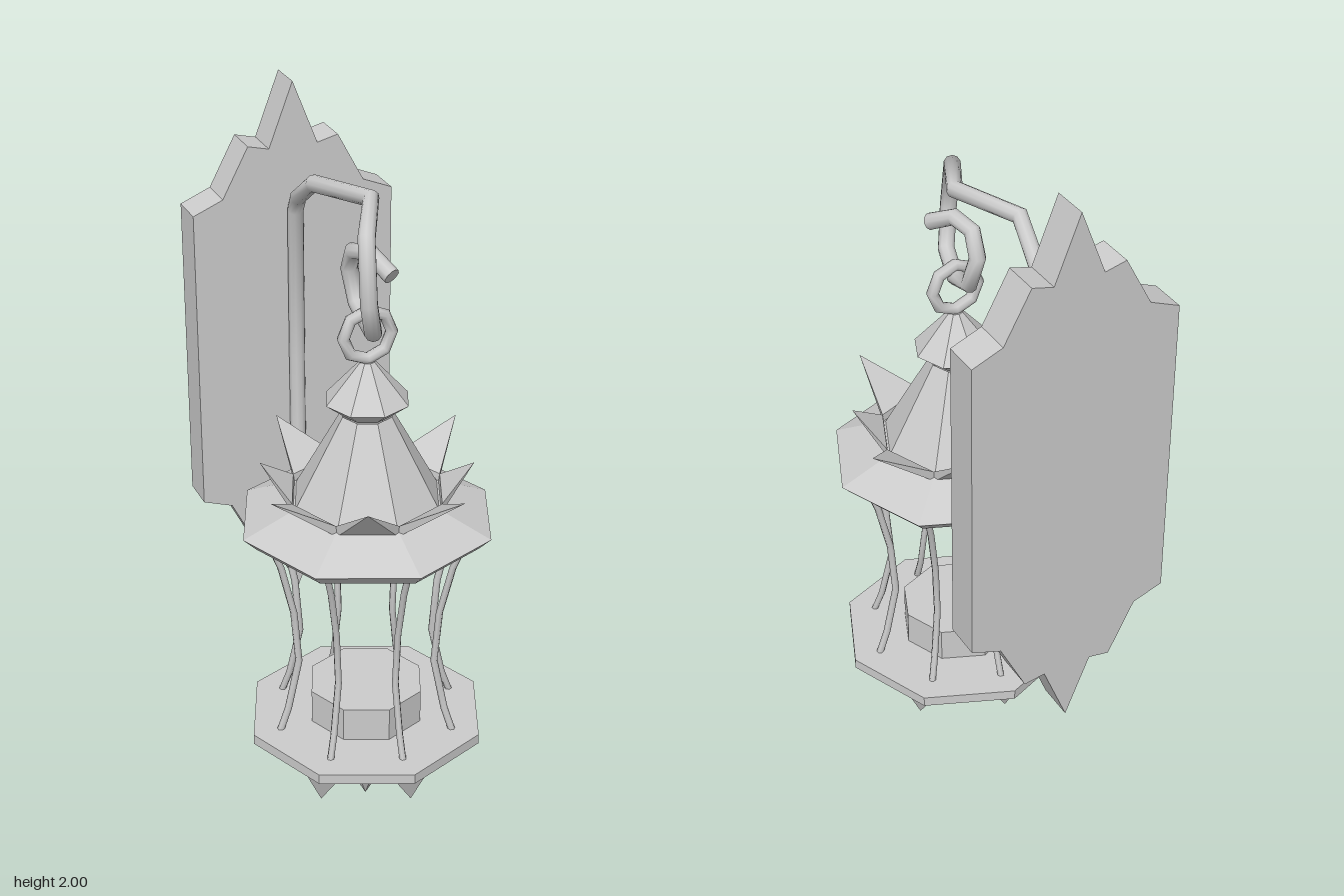
import * as THREE from 'three';
import { ConvexGeometry } from 'three/addons/geometries/ConvexGeometry.js';

const flat = new THREE.MeshStandardMaterial({ color: 0xcccccc, flatShading: true, side: THREE.DoubleSide });
const smooth = new THREE.MeshStandardMaterial({ color: 0xcccccc, side: THREE.DoubleSide });

function add(parent, name, geometry, material = flat) {
  const mesh = new THREE.Mesh(geometry, material);
  mesh.name = name;
  parent.add(mesh);
  return mesh;
}

// Eight-sided turned part with corners on the x and z axes
const turned = (pts) => new THREE.LatheGeometry(pts.map(([r, y]) => new THREE.Vector2(r, y)), 8);

// Capped tube whose rings sit exactly on the given points
function rod(parent, name, points, radius, sides) {
  const curve = new THREE.CatmullRomCurve3(points.map((p) => new THREE.Vector3(...p)));
  curve.getPointAt = curve.getPoint;
  curve.getTangentAt = curve.getTangent;
  const group = new THREE.Group();
  group.name = name;
  add(group, name + 'Tube', new THREE.TubeGeometry(curve, points.length - 1, radius, sides), smooth);
  for (const t of [0, 1]) {
    const cap = add(group, name + 'End', new THREE.CircleGeometry(radius, sides));
    cap.position.copy(curve.getPoint(t));
    const dir = curve.getTangent(t).multiplyScalar(t ? 1 : -1);
    cap.quaternion.setFromUnitVectors(new THREE.Vector3(0, 0, 1), dir);
  }
  parent.add(group);
  return group;
}

// Convex solid from a few points given as [x, y, z]
const hull = (pts) => new ConvexGeometry(pts.map((p) => new THREE.Vector3(...p)));

export function createModel() {
  const model = new THREE.Group();
  model.name = 'wallLantern';

  // Wall plate: stepped outline mirrored left to right
  const half = [[0, 0.435], [0.07, 0.61], [0.13, 0.6], [0.205, 0.75], [0.29, 0.78],
    [0.29, 1.66], [0.205, 1.695], [0.13, 1.835], [0.07, 1.82], [0, 2]];
  const mirrored = half.slice(1, -1).reverse().map(([x, y]) => [-x, y]);
  const outline = new THREE.Shape([...half, ...mirrored].map(([x, y]) => new THREE.Vector2(x, y)));
  const plate = add(model, 'wallPlate', new THREE.ExtrudeGeometry(outline, { depth: 0.105, bevelEnabled: false }));
  plate.position.set(-0.005, 0, -0.48);

  // Scrolled arm, from the lower curl up the plate and over to the hook
  rod(model, 'scrollArm', [
    [-0.02, 0.755, -0.155], [-0.02, 0.69, -0.19], [-0.015, 0.665, -0.275], [-0.01, 0.7, -0.345],
    [-0.005, 0.8, -0.367], [-0.005, 1.2, -0.367], [-0.005, 1.64, -0.365], [-0.01, 1.69, -0.33],
    [-0.045, 1.805, -0.13], [0.04, 1.815, 0.05], [-0.045, 1.785, 0.22], [-0.06, 1.63, 0.272],
    [-0.03, 1.53, 0.23], [0, 1.507, 0.125], [0.005, 1.53, 0.04], [-0.005, 1.62, 0.013],
    [-0.01, 1.68, 0.05], [0.01, 1.697, 0.11], [0.04, 1.655, 0.185],
  ], 0.023, 10);

  // Lantern hangs on its own axis in front of the plate
  const lantern = new THREE.Group();
  lantern.name = 'lantern';
  lantern.position.z = 0.125;
  model.add(lantern);

  const ring = add(lantern, 'hangingRing', new THREE.TorusGeometry(0.068, 0.017, 8, 8), smooth);
  ring.position.y = 1.475;

  add(lantern, 'roofKnob', turned([[0, 1.25], [0.065, 1.25], [0.116, 1.29], [0.02, 1.4], [0, 1.4]]));
  add(lantern, 'roofCone', turned([[0.212, 0.99], [0.07, 1.25]]));
  add(lantern, 'roofRim', turned([[0, 0.905], [0.32, 0.905], [0.355, 0.94], [0.21, 1.0], [0, 1.0]]));
  add(lantern, 'base', turned([[0, 0.275], [0.34, 0.275], [0.34, 0.305], [0, 0.305]]));
  add(lantern, 'baseBowl', turned([[0, 0.095], [0.03, 0.115], [0.13, 0.2], [0.17, 0.21], [0.34, 0.275]]));
  add(lantern, 'bottomFinial', turned([[0, 0.005], [0.038, 0.078], [0.01, 0.085], [0.01, 0.11]]));
  add(lantern, 'candleBase', turned([[0.165, 0.3], [0.165, 0.405], [0, 0.405]]));

  // Roof petals, alternately long and short, between the cone corners
  const s = Math.sin(Math.PI / 8), c = Math.cos(Math.PI / 8);
  for (let i = 0; i < 8; i++) {
    const long = i % 2 === 0;
    const petal = add(lantern, 'roofPetal', hull([
      [-0.215 * s, 1.02, 0.215 * c], [0.215 * s, 1.02, 0.215 * c],
      [-0.21 * s, 0.985, 0.21 * c], [0.21 * s, 0.985, 0.21 * c],
      [0, long ? 1.115 : 1.1, long ? 0.351 : 0.286],
    ]));
    petal.rotation.y = (i + 0.5) * Math.PI / 4;
  }

  // Waisted cage bars
  for (let i = 0; i < 8; i++) {
    const bar = rod(lantern, 'cageBar', [
      [0, 0.3, 0.26], [0, 0.37, 0.235], [0, 0.52, 0.202], [0, 0.68, 0.215], [0, 0.83, 0.25], [0, 0.91, 0.28],
    ], 0.01, 6);
    bar.rotation.y = i * Math.PI / 4;
  }

  // Hooked leaves under the bowl
  for (let i = 0; i < 4; i++) {
    const leaf = new THREE.Group();
    leaf.name = 'lowerLeaf';
    add(leaf, 'leafRoot', hull([
      [-0.05, 0.205, 0.11], [0.05, 0.205, 0.11], [0, 0.17, 0.11],
      [-0.075, 0.19, 0.18], [0.075, 0.19, 0.18], [0, 0.205, 0.2], [0, 0.18, 0.23], [0, 0.165, 0.19],
    ]));
    add(leaf, 'leafTip', hull([
      [-0.075, 0.19, 0.18], [0.075, 0.19, 0.18], [0, 0.18, 0.23], [0, 0.165, 0.19], [0, 0.08, 0.18],
    ]));
    leaf.rotation.y = Math.PI / 8 + i * Math.PI / 2;
    lantern.add(leaf);
  }

  return model;
}
